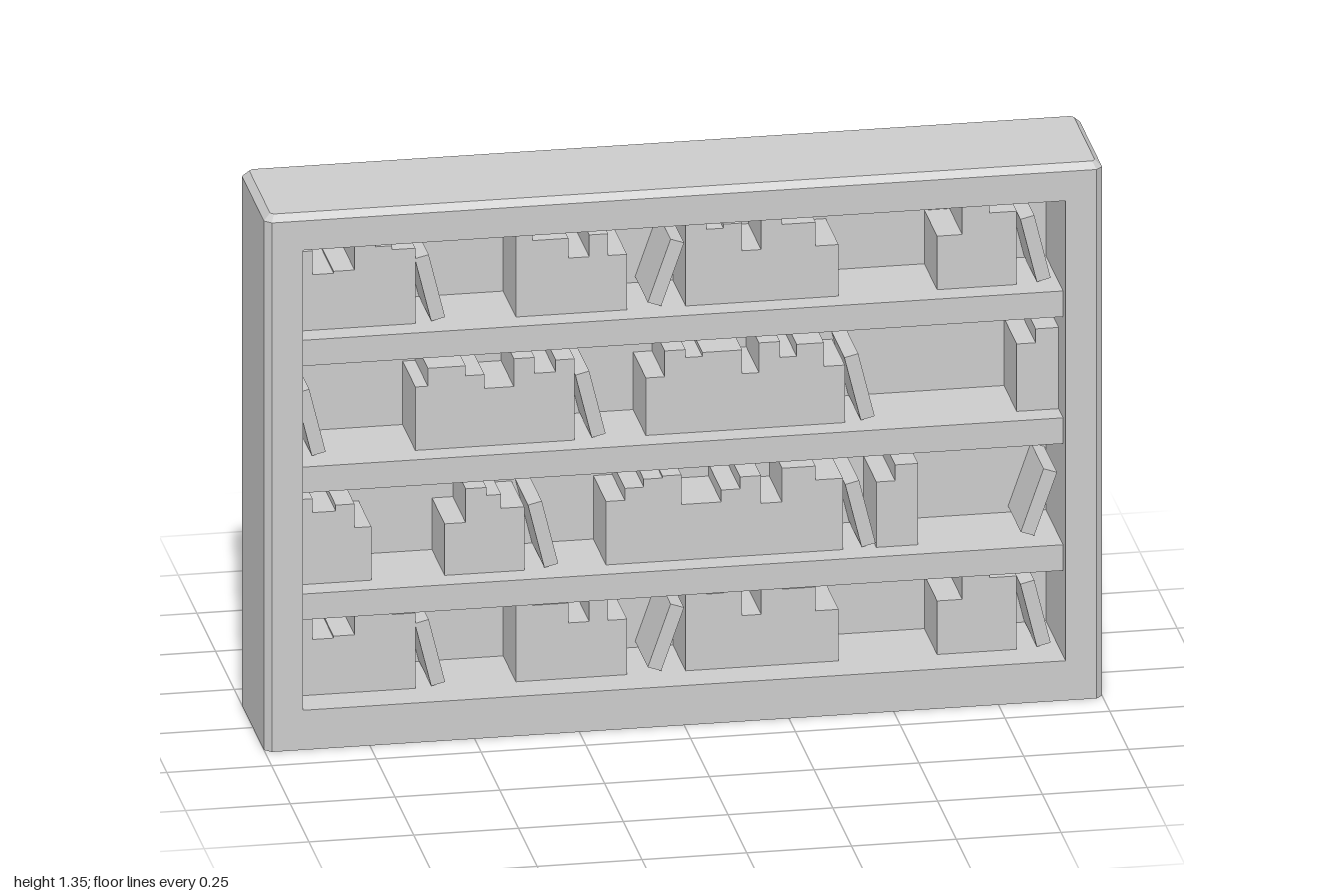
import * as THREE from 'three';

const W = 1, H = 1.35, D = 0.163, C = 0.016; // half width, height, half depth, chamfer
const IN = 0.91, FLOOR = 0.1, CEIL = 1.26, BACK = -0.1; // alcove
const BOOK_FRONT = 0.07;
const mat = new THREE.MeshStandardMaterial({ color: 0xcccccc, side: THREE.DoubleSide, flatShading: true });
const darkMat = new THREE.MeshStandardMaterial({ color: 0x333330, side: THREE.DoubleSide });

function box(parent, name, x0, x1, y0, y1, z0, z1, material = mat) {
  const m = new THREE.Mesh(new THREE.BoxGeometry(x1 - x0, y1 - y0, z1 - z0), material);
  m.position.set((x0 + x1) / 2, (y0 + y1) / 2, (z0 + z1) / 2);
  m.name = name;
  parent.add(m);
  return m;
}

// Rectangle with cut corners at one height
function ring(w, d, c, y) {
  return [[w - c, d], [w, d - c], [w, c - d], [w - c, -d], [c - w, -d], [-w, c - d], [-w, d - c], [c - w, d]]
    .map(([x, z]) => [x, y, z]);
}

// Outer sides, chamfers and top; open underneath, front face left for the frame
function shellGeometry() {
  const rings = [ring(W, D, C, 0), ring(W, D, C, H - C), ring(W - C, D - C, C * 0.5, H)];
  const pos = [];
  const tri = (a, b, c) => pos.push(...a, ...b, ...c);
  for (let r = 0; r < 2; r++) {
    for (let i = 0; i < 8; i++) {
      if (r === 0 && i === 7) continue;
      const j = (i + 1) % 8;
      const a = rings[r][i], b = rings[r][j], c = rings[r + 1][j], d = rings[r + 1][i];
      tri(a, b, c);
      tri(a, c, d);
    }
  }
  for (let i = 1; i < 7; i++) tri(rings[2][0], rings[2][i], rings[2][i + 1]);
  const g = new THREE.BufferGeometry();
  g.setAttribute('position', new THREE.Float32BufferAttribute(pos, 3));
  g.computeVertexNormals();
  return g;
}

function rect(P, x0, x1, y0, y1) {
  const p = new P();
  p.moveTo(x0, y0);
  p.lineTo(x1, y0);
  p.lineTo(x1, y1);
  p.lineTo(x0, y1);
  p.closePath();
  return p;
}

// Each stack: left edge, then [right edge, height] per book.
const topRow = {
  stacks: [
    [-0.91, [-0.87, 0.2], [-0.82, 0.14], [-0.77, 0.145], [-0.72, 0.215], [-0.68, 0.2], [-0.625, 0.19]],
    [-0.385, [-0.345, 0.215], [-0.26, 0.19], [-0.21, 0.14], [-0.165, 0.195], [-0.12, 0.14]],
    [0.02, [0.07, 0.215], [0.11, 0.19], [0.155, 0.2], [0.2, 0.13], [0.25, 0.215], [0.33, 0.19], [0.385, 0.13]],
    [0.62, [0.68, 0.135], [0.745, 0.21], [0.81, 0.185]],
  ],
  // Leaning books: centre and direction (+1 tips towards -x)
  leaning: [[-0.59, 1], [-0.027, -1.4], [0.855, 1]],
};
const rows = [
  { y: FLOOR, ...topRow },
  {
    y: 0.38,
    stacks: [
      [-0.91, [-0.87, 0.215], [-0.815, 0.18], [-0.77, 0.195], [-0.73, 0.135]],
      [-0.555, [-0.505, 0.13], [-0.455, 0.215], [-0.42, 0.195], [-0.365, 0.16]],
      [-0.17, [-0.125, 0.16], [-0.08, 0.19], [-0.035, 0.21], [0.01, 0.215], [0.105, 0.14], [0.15, 0.17],
        [0.2, 0.2], [0.25, 0.13], [0.33, 0.215], [0.395, 0.18]],
      [0.475, [0.52, 0.165], [0.575, 0.205]],
    ],
    leaning: [[-0.32, 1], [0.437, 1], [0.863, -1.4]],
  },
  {
    y: 0.7,
    stacks: [
      [-0.625, [-0.595, 0.16], [-0.505, 0.205], [-0.46, 0.18], [-0.39, 0.145], [-0.34, 0.215], [-0.29, 0.175],
        [-0.245, 0.205]],
      [-0.075, [-0.03, 0.145], [0.02, 0.21], [0.06, 0.19], [0.155, 0.2], [0.195, 0.14], [0.245, 0.215],
        [0.285, 0.175], [0.35, 0.205], [0.4, 0.145]],
      [0.81, [0.855, 0.17], [0.91, 0.205]],
    ],
    leaning: [[-0.875, 1], [-0.207, 1], [0.435, 1]],
  },
  { y: 1.02, ...topRow },
];

export function createModel() {
  const model = new THREE.Group();
  model.name = 'bookcase';

  const shell = new THREE.Mesh(shellGeometry(), mat);
  shell.name = 'outerShell';
  model.add(shell);

  // Front frame around the opening
  const face = rect(THREE.Shape, C - W, W - C, 0, H - C);
  face.holes.push(rect(THREE.Path, -IN, IN, FLOOR, CEIL));
  const frame = new THREE.Mesh(new THREE.ShapeGeometry(face), mat);
  frame.position.z = D;
  frame.name = 'frontFrame';
  model.add(frame);

  // Alcove lining
  const plane = (name, w, h, x, y, z, rx, ry) => {
    const m = new THREE.Mesh(new THREE.PlaneGeometry(w, h), mat);
    m.position.set(x, y, z);
    m.rotation.set(rx, ry, 0);
    m.name = name;
    model.add(m);
  };
  const depth = D - BACK, midZ = (D + BACK) / 2, midY = (FLOOR + CEIL) / 2;
  plane('alcoveBack', 2 * IN, CEIL - FLOOR, 0, midY, BACK, 0, 0);
  plane('alcoveFloor', 2 * IN, depth, 0, FLOOR, midZ, -Math.PI / 2, 0);
  plane('alcoveCeiling', 2 * IN, depth, 0, CEIL, midZ, Math.PI / 2, 0);
  for (const s of [-1, 1]) plane('alcoveSide', depth, CEIL - FLOOR, s * IN, midY, midZ, 0, -s * Math.PI / 2);

  // Shelves, with a thin dark rail under the top one
  for (const y of [0.38, 0.7, 1.02]) box(model, 'shelf', -IN, IN, y - 0.065, y, BACK, 0.13);
  box(model, 'shelfRail', -IN, IN, 0.94, 0.955, BACK, BACK + 0.02, darkMat);

  // Books
  for (const { y, stacks, leaning } of rows) {
    const books = new THREE.Group();
    books.name = 'bookRow';
    for (const [start, ...list] of stacks) {
      let x = start;
      for (const [right, h] of list) {
        box(books, 'book', x, right, y, y + h, BACK, BOOK_FRONT);
        x = right;
      }
    }
    for (const [x, dir] of leaning) {
      const b = box(books, 'leaningBook', x - 0.017, x + 0.017, y + 0.005, y + 0.17, BACK, BOOK_FRONT);
      b.rotation.z = dir * 0.24;
    }
    model.add(books);
  }
  return model;
}
